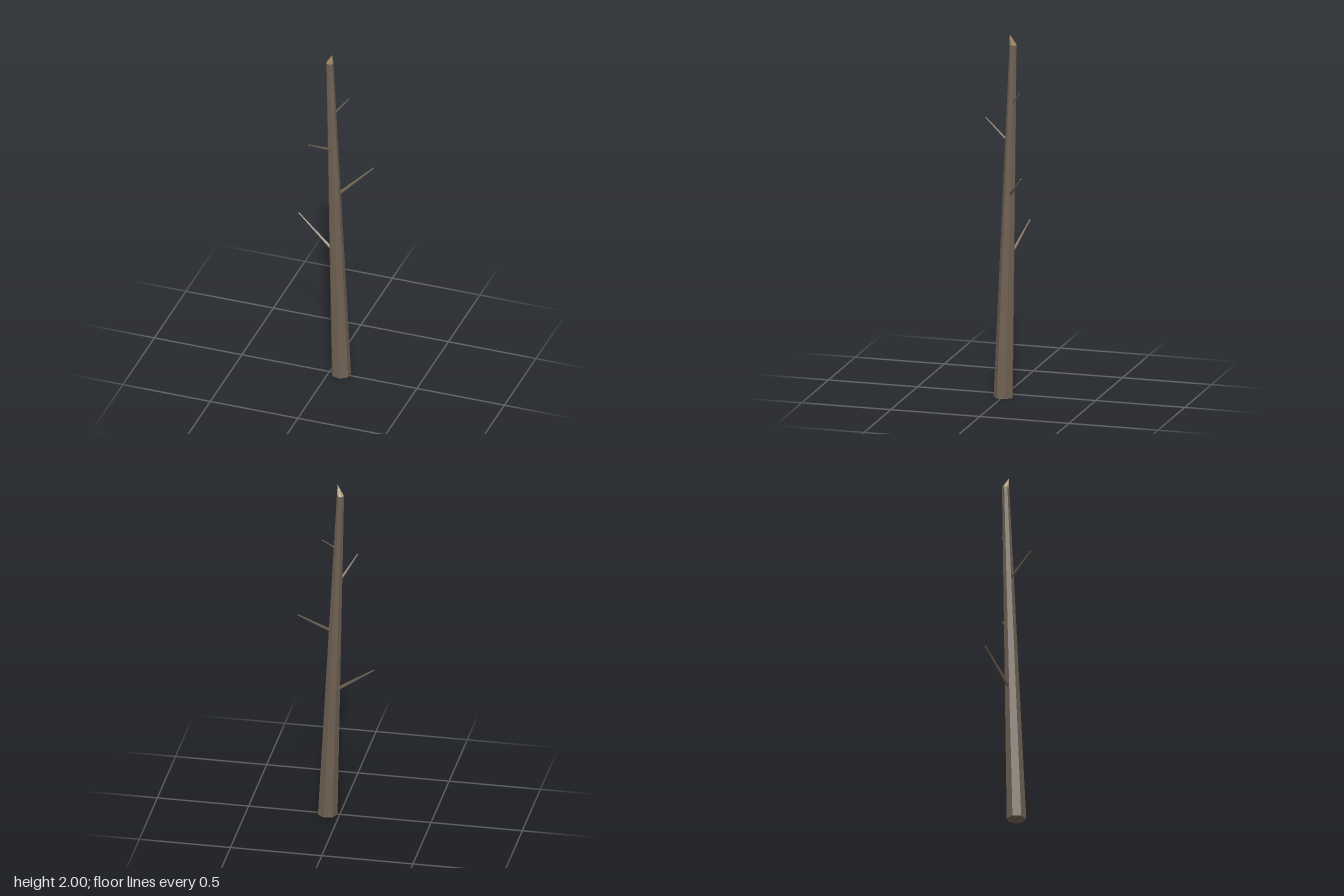
import * as THREE from 'three';

const bark = new THREE.MeshStandardMaterial({ color: 0x6e6052, flatShading: true });
const wood = new THREE.MeshStandardMaterial({ color: 0xa8906c, flatShading: true });

const BASE = new THREE.Vector3(0.066, 0, -0.003);
const TOP = new THREE.Vector3(-0.01, 1.94, -0.034);
const SIDES = 7;

// Frustum whose level rings are sheared from one centre to the other
function leaningFrustum(from, to, rFrom, rTo) {
  const geo = new THREE.CylinderGeometry(rTo, rFrom, 1, SIDES);
  geo.rotateY(-Math.PI / 2).translate(0, 0.5, 0);
  const pos = geo.attributes.position;
  const c = new THREE.Vector3();
  for (let i = 0; i < pos.count; i++) {
    c.lerpVectors(from, to, pos.getY(i));
    pos.setXYZ(i, pos.getX(i) + c.x, c.y, pos.getZ(i) + c.z);
  }
  geo.computeVertexNormals();
  return geo;
}

// Thin tapered stick growing out of the trunk axis
function makeBranch(startY, tip, rBase, rTip) {
  const start = new THREE.Vector3().lerpVectors(BASE, TOP, startY / TOP.y);
  const dir = new THREE.Vector3(...tip).sub(start);
  const geo = new THREE.CylinderGeometry(rTip, rBase, dir.length(), 5);
  geo.translate(0, dir.length() / 2, 0);
  const mesh = new THREE.Mesh(geo, bark);
  mesh.position.copy(start);
  mesh.quaternion.setFromUnitVectors(new THREE.Vector3(0, 1, 0), dir.normalize());
  return mesh;
}

export function createModel() {
  const model = new THREE.Group();
  model.name = 'deadTree';

  // Leaning, tapering trunk
  const trunk = new THREE.Mesh(leaningFrustum(BASE, TOP, 0.054, 0.02), bark);
  trunk.name = 'trunk';
  model.add(trunk);

  // Splintered tip with an off-centre point
  const apex = new THREE.Vector3(0.008, 2, -0.021);
  const splinter = new THREE.Mesh(leaningFrustum(TOP, apex, 0.02, 0.0005), wood);
  splinter.name = 'brokenTip';
  model.add(splinter);

  // Bare branches: start height, tip, base radius, tip radius
  [
    [0.745, [-0.202, 0.925, -0.072], 0.011, 0.004],
    [1.105, [0.202, 1.253, -0.14], 0.01, 0.004],
    [1.395, [-0.071, 1.508, 0.139], 0.009, 0.0035],
    [1.61, [0.079, 1.694, -0.094], 0.006, 0.003],
  ].forEach((args, i) => {
    const branch = makeBranch(...args);
    branch.name = `branch${i + 1}`;
    model.add(branch);
  });

  return model;
}
